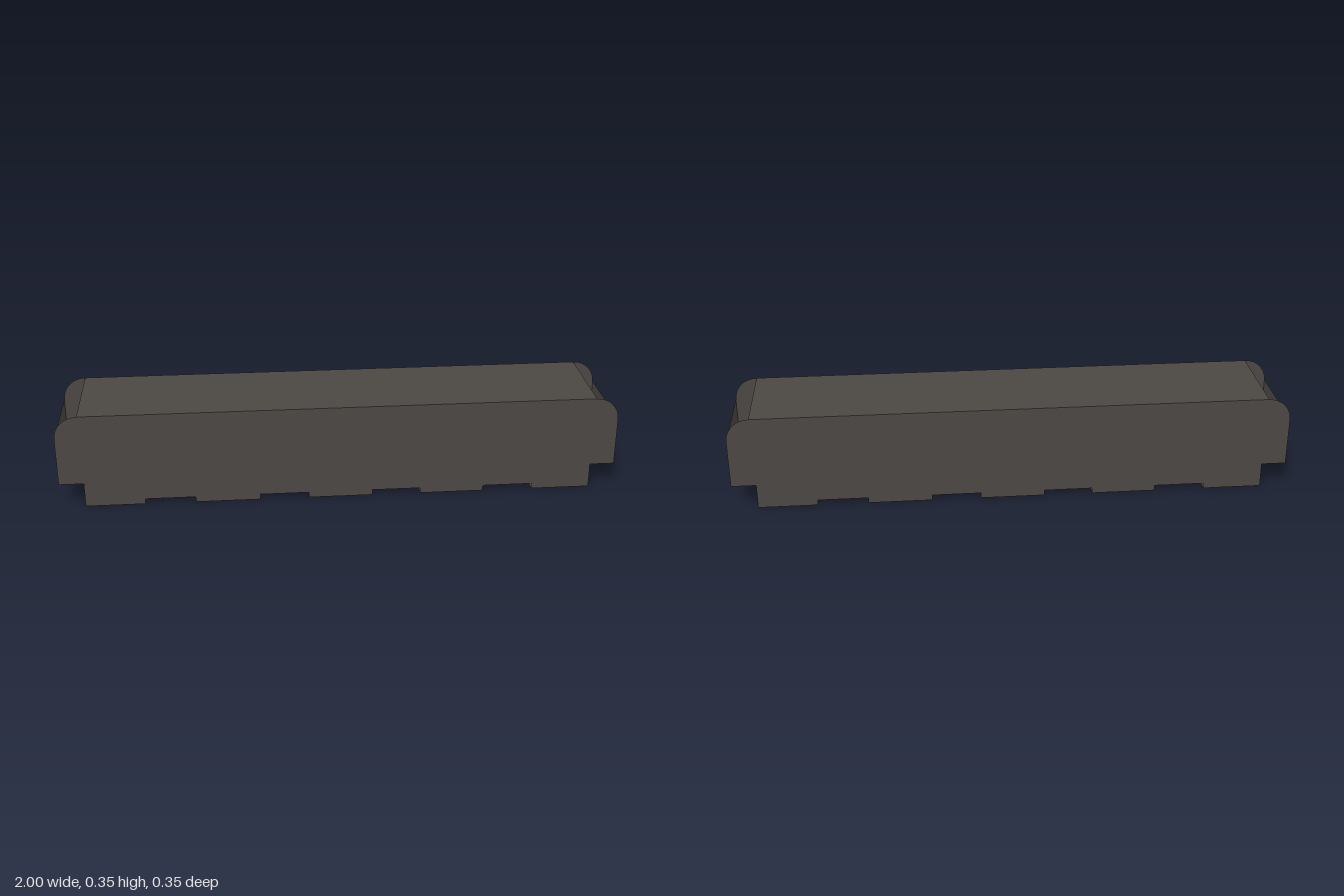
import * as THREE from 'three';

const L = 1, H = 0.35, D = 0.174;       // half length, height, half depth
const R = 0.083, STEP_X = 0.912, STEP_Y = 0.09, NOTCH = 0.02;
const FEET = [[-STEP_X, -0.7], [-0.52, -0.29], [-0.115, 0.115], [0.29, 0.52], [0.7, STEP_X]];

const material = new THREE.MeshStandardMaterial({ color: 0x4b4743, side: THREE.DoubleSide, flatShading: true });

// Side outline: stepped ends, rounded top corners and shallow notches between the feet
function outline() {
  const s = new THREE.Shape();
  FEET.forEach(([a, b], i) => {
    if (i === 0) s.moveTo(a, 0);
    else s.lineTo(a, NOTCH).lineTo(a, 0);
    s.lineTo(b, 0);
    if (i < FEET.length - 1) s.lineTo(b, NOTCH);
  });
  s.lineTo(STEP_X, STEP_Y).lineTo(L, STEP_Y).lineTo(L, H - R);
  s.absarc(L - R, H - R, R, 0, Math.PI / 2, false);
  s.lineTo(-L + R, H);
  s.absarc(-L + R, H - R, R, Math.PI / 2, Math.PI, false);
  s.lineTo(-L, STEP_Y).lineTo(-STEP_X, STEP_Y);
  s.closePath();
  return s;
}

export function createModel() {
  const group = new THREE.Group();
  group.name = 'beam';
  const add = (name, geometry) => {
    const mesh = new THREE.Mesh(geometry, material);
    mesh.name = name;
    group.add(mesh);
    return mesh;
  };

  // Flat panel spanning the depth between two outline points, facing right of travel
  const panel = (name, x0, y0, x1, y1) => {
    const g = new THREE.PlaneGeometry(Math.hypot(x1 - x0, y1 - y0), 2 * D);
    g.rotateX(Math.PI / 2);
    g.rotateZ(Math.atan2(y1 - y0, x1 - x0));
    g.translate((x0 + x1) / 2, (y0 + y1) / 2, 0);
    return add(name, g);
  };

  // Long side walls
  const wall = new THREE.ShapeGeometry(outline(), 6);
  add('frontWall', wall).position.z = D;
  const back = add('backWall', wall);
  back.position.z = -D;
  back.rotation.y = Math.PI;

  // Top, leaving the rounded corners open
  panel('top', L - R, H, -L + R, H);

  // End walls and stepped undersides
  panel('leftEnd', L, STEP_Y, L, H - R);
  panel('leftLedge', STEP_X, STEP_Y, L, STEP_Y);
  panel('leftStep', STEP_X, 0, STEP_X, STEP_Y);
  panel('rightEnd', -L, H - R, -L, STEP_Y);
  panel('rightLedge', -L, STEP_Y, -STEP_X, STEP_Y);
  panel('rightStep', -STEP_X, STEP_Y, -STEP_X, 0);

  // Soles of the feet, with open gaps between them
  FEET.forEach(([a, b], i) => panel('foot' + (i + 1), a, 0, b, 0));
  return group;
}
